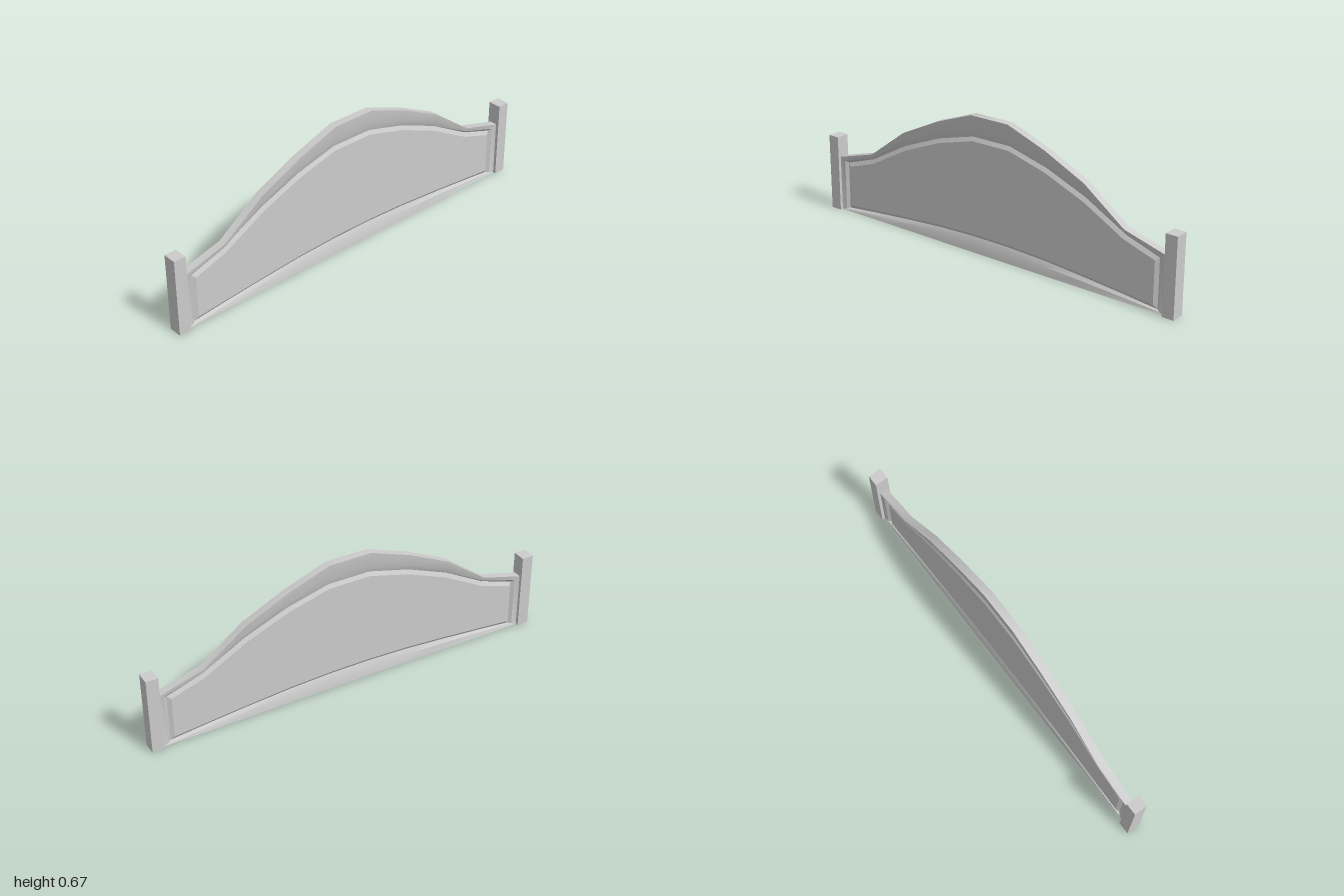
import * as THREE from 'three';
import { mergeVertices, toCreasedNormals } from 'three/addons/utils/BufferGeometryUtils.js';

const material = new THREE.MeshStandardMaterial({ color: 0xcccccc, side: THREE.DoubleSide });

// Closed loop, counter-clockwise from the front: bottom left to right, then top right to left.
// Each half is given from the outer end to the middle and mirrored.
function ring(xs, top, bottom, z) {
  const mirror = (ys) => [
    ...xs.map((x, i) => [-x, ys[i], z]),
    ...xs.map((x, i) => [x, ys[i], z]).reverse(),
  ];
  return [...mirror(bottom), ...mirror(top).reverse()];
}

// Point-by-point blend of two loops, with its own depth
const blend = (a, b, t, z) => a.map((p, i) => [p[0] + (b[i][0] - p[0]) * t, p[1] + (b[i][1] - p[1]) * t, z]);

function boardGeometry() {
  const outer = ring([0.945, 0.73, 0.52, 0.31, 0.105], [0.275, 0.335, 0.49, 0.59, 0.665], [0, 0, 0, 0, 0], 0.019);
  const groove = ring([0.902, 0.73, 0.52, 0.31, 0.105], [0.25, 0.307, 0.422, 0.506, 0.56], [0.012, 0.03, 0.049, 0.065, 0.073], 0.003);
  const panel = ring([0.884, 0.725, 0.515, 0.307, 0.104], [0.235, 0.287, 0.402, 0.486, 0.541], [0.03, 0.045, 0.064, 0.08, 0.088], 0.013);
  const front = [outer, blend(outer, groove, 0.65, 0.014), groove, panel];
  const back = front.map((loop) => loop.map(([x, y, z]) => [x, y, -z]));
  // Loops run from the back panel, around the rim, to the front panel
  const loops = [...back.reverse(), ...front];
  const n = outer.length;
  const index = [];
  const quad = (a, b, c, d) => index.push(a, b, c, a, c, d);
  for (let r = 0; r < loops.length - 1; r++) {
    for (let i = 0; i < n; i++) {
      const j = (i + 1) % n;
      quad(r * n + i, r * n + j, (r + 1) * n + j, (r + 1) * n + i);
    }
  }
  // Flat panel faces, as strips between the bottom and top edges
  const last = (loops.length - 1) * n;
  for (let i = 0; i < n / 2 - 1; i++) {
    const k = n - 1 - i;
    quad(last + i, last + i + 1, last + k - 1, last + k);
    quad(i, k, k - 1, i + 1);
  }
  const geometry = new THREE.BufferGeometry();
  geometry.setAttribute('position', new THREE.Float32BufferAttribute(loops.flat(2), 3));
  geometry.setIndex(index);
  return toCreasedNormals(mergeVertices(geometry), 0.38);
}

// Square post, open underneath
function postGeometry() {
  const geometry = new THREE.BoxGeometry(0.058, 0.38, 0.066);
  const index = Array.from(geometry.index.array);
  index.splice(18, 6);
  geometry.setIndex(index);
  geometry.clearGroups();
  return geometry;
}

export function createModel() {
  const group = new THREE.Group();
  group.name = 'headboard';

  const board = new THREE.Mesh(boardGeometry(), material);
  board.name = 'archedBoard';
  group.add(board);

  for (const side of [1, -1]) {
    const post = new THREE.Mesh(postGeometry(), material);
    post.name = side > 0 ? 'leftPost' : 'rightPost';
    post.position.set(side * 0.971, 0.19, 0);
    group.add(post);
  }
  return group;
}
